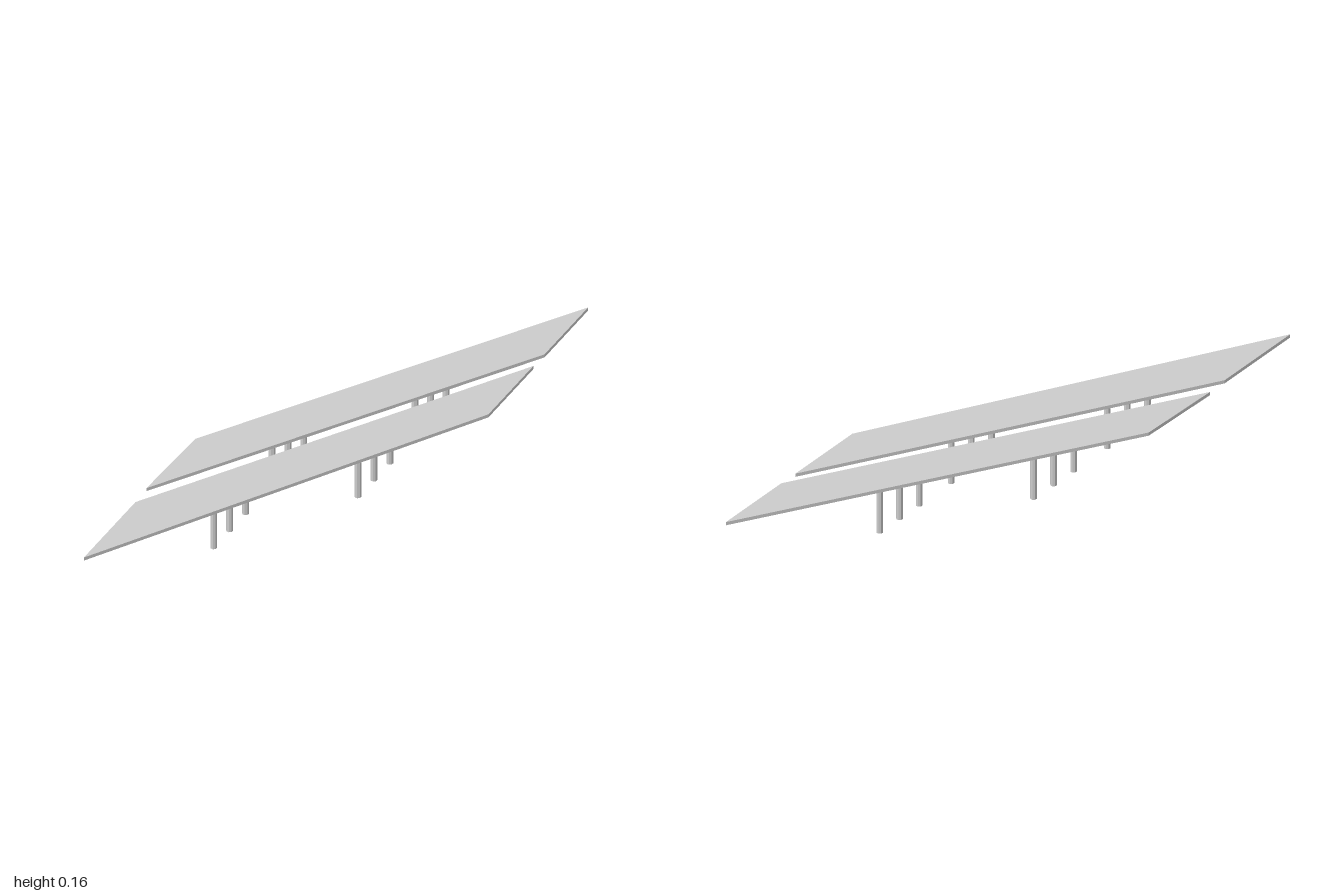
import * as THREE from 'three';

const material = new THREE.MeshStandardMaterial({ color: 0xcccccc, flatShading: true });
const DECK_BOTTOM = 0.146;
const DECK_THICKNESS = 0.011;

// Flat slab from plan corners given as [x, z]
function makeDeck(name, corners) {
  const shape = new THREE.Shape(corners.map(([x, z]) => new THREE.Vector2(x, -z)));
  const geometry = new THREE.ExtrudeGeometry(shape, { depth: DECK_THICKNESS, bevelEnabled: false });
  geometry.rotateX(-Math.PI / 2);
  const deck = new THREE.Mesh(geometry, material);
  deck.name = name;
  deck.position.y = DECK_BOTTOM;
  return deck;
}

// Row of three columns running parallel to the skewed deck ends
function makePierRow(name, start, end) {
  const row = new THREE.Group();
  row.name = name;
  const geometry = new THREE.CylinderGeometry(0.0105, 0.0105, DECK_BOTTOM, 8);
  for (let i = 0; i < 3; i++) {
    const column = new THREE.Mesh(geometry, material);
    column.name = 'column';
    column.position.set(
      THREE.MathUtils.lerp(start[0], end[0], i / 2),
      DECK_BOTTOM / 2,
      THREE.MathUtils.lerp(start[1], end[1], i / 2)
    );
    row.add(column);
  }
  return row;
}

export function createModel() {
  const bridge = new THREE.Group();
  bridge.name = 'twinBridge';

  // Two skewed carriageway slabs
  bridge.add(makeDeck('frontDeck', [[-1, 0.181], [0.435, 0.181], [0.69, 0.033], [-0.707, 0.011]]));
  bridge.add(makeDeck('backDeck', [[-0.638, -0.035], [0.752, -0.002], [1, -0.146], [-0.37, -0.181]]));

  // Two pier rows under each slab
  bridge.add(makePierRow('frontDeckLeftPier', [-0.515, 0.1435], [-0.335, 0.039]));
  bridge.add(makePierRow('frontDeckRightPier', [-0.004, 0.1435], [0.175, 0.042]));
  bridge.add(makePierRow('backDeckLeftPier', [-0.185, -0.0475], [-0.008, -0.147]));
  bridge.add(makePierRow('backDeckRightPier', [0.318, -0.0415], [0.493, -0.141]));

  return bridge;
}
